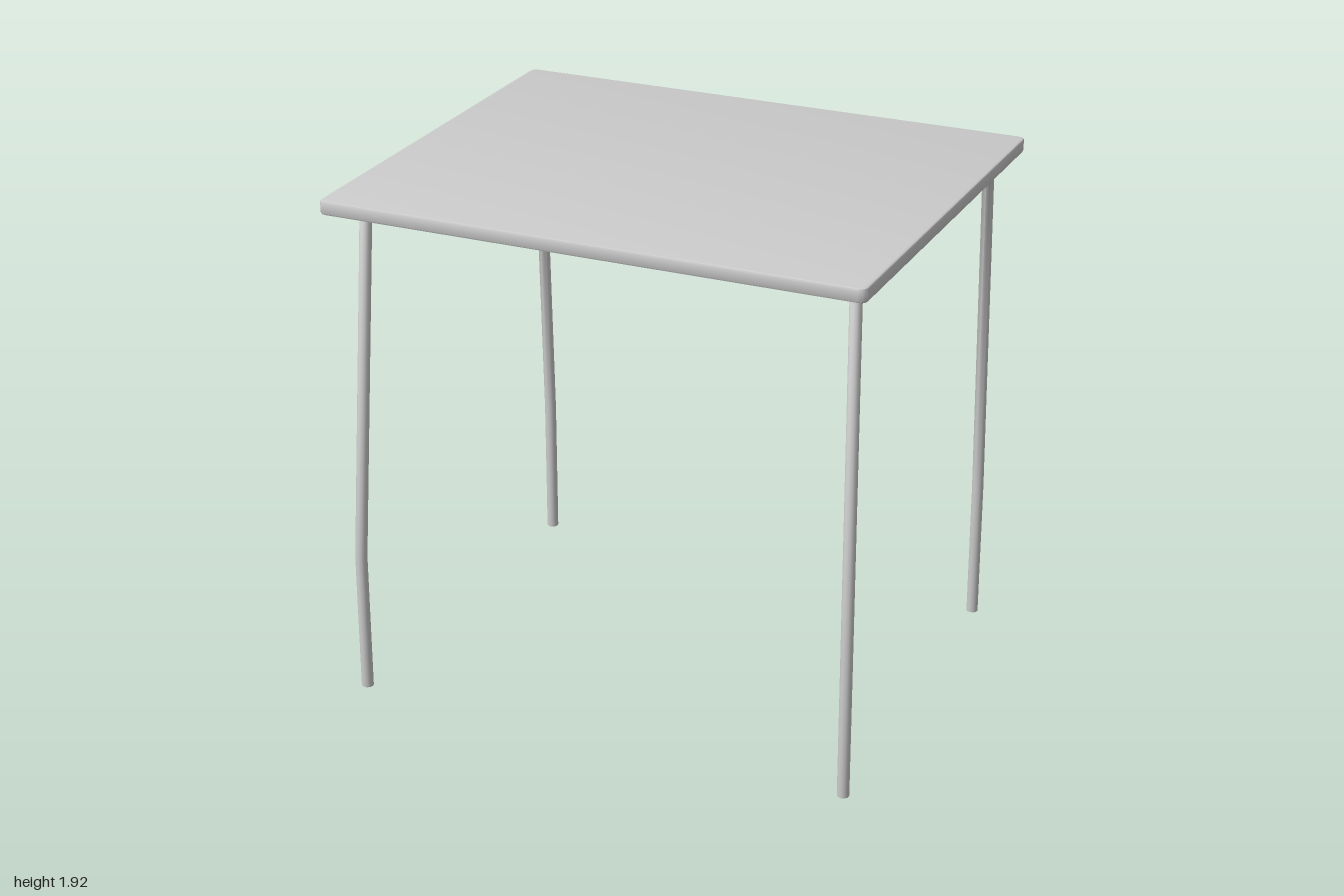
import * as THREE from 'three';
import { toCreasedNormals } from 'three/addons/utils/BufferGeometryUtils.js';

const material = new THREE.MeshStandardMaterial({ color: 0xcccccc });

// Round tube along a polyline with mitred corners and closed ends.
function mitredTube(points, radius, sides) {
  const dirs = points.slice(1).map((p, i) => p.clone().sub(points[i]).normalize());
  const u = new THREE.Vector3(1, 0, 0);
  u.addScaledVector(dirs[0], -u.dot(dirs[0])).normalize();
  const v = dirs[0].clone().cross(u);
  let ring = [];
  for (let j = 0; j < sides; j++) {
    const a = (j / sides) * Math.PI * 2;
    ring.push(points[0].clone().addScaledVector(u, radius * Math.cos(a)).addScaledVector(v, radius * Math.sin(a)));
  }
  const rings = [ring];
  for (let i = 1; i < points.length; i++) {
    // Slide the ring along the segment until it meets the mitre plane.
    const d = dirs[i - 1];
    const n = d.clone().add(dirs[i] ?? d).normalize();
    ring = ring.map((p) => p.clone().addScaledVector(d, points[i].clone().sub(p).dot(n) / d.dot(n)));
    rings.push(ring);
  }
  const verts = [...rings.flat(), points[0], points[points.length - 1]];
  const first = verts.length - 2, last = verts.length - 1;
  const end = (rings.length - 1) * sides;
  const index = [];
  for (let j = 0; j < sides; j++) {
    const k = (j + 1) % sides;
    for (let i = 0; i < rings.length - 1; i++) {
      const a = i * sides + j, b = i * sides + k;
      index.push(a, b, b + sides, a, b + sides, a + sides);
    }
    index.push(first, k, j, last, end + j, end + k);
  }
  const geometry = new THREE.BufferGeometry().setFromPoints(verts);
  geometry.setIndex(index);
  return toCreasedNormals(geometry, Math.PI / 3.5);
}

// Flat slab with small rounded corners and softened edges.
function slab(width, depth, height, corner, bevel) {
  const x = width / 2 - bevel, z = depth / 2 - bevel;
  const s = new THREE.Shape();
  s.moveTo(-x + corner, -z);
  s.lineTo(x - corner, -z);
  s.quadraticCurveTo(x, -z, x, -z + corner);
  s.lineTo(x, z - corner);
  s.quadraticCurveTo(x, z, x - corner, z);
  s.lineTo(-x + corner, z);
  s.quadraticCurveTo(-x, z, -x, z - corner);
  s.lineTo(-x, -z + corner);
  s.quadraticCurveTo(-x, -z, -x + corner, -z);
  const geometry = new THREE.ExtrudeGeometry(s, {
    depth: height - 2 * bevel, bevelSize: bevel, bevelThickness: bevel, bevelSegments: 2, curveSegments: 3,
  });
  geometry.rotateX(-Math.PI / 2).translate(0, bevel, 0);
  return toCreasedNormals(geometry, Math.PI / 4);
}

export function createModel() {
  const group = new THREE.Group();

  const tabletop = new THREE.Mesh(slab(2, 1.63, 0.05, 0.022, 0.006), material);
  tabletop.name = 'tabletop';
  tabletop.position.y = 1.867;
  group.add(tabletop);

  // Each side frame is one bent tube: front leg, top rail, back leg.
  for (const side of [1, -1]) {
    const path = [
      [0.942, 0, 0.742], [0.942, 0.53, 0.742], [0.908, 1.825, 0.652], [0.908, 1.848, 0.628],
      [0.908, 1.848, -0.63], [0.908, 1.808, -0.679], [0.908, 0.53, -0.726], [0.908, 0, -0.726],
    ].map(([x, y, z]) => new THREE.Vector3(side * x, y, z));
    const frame = new THREE.Mesh(mitredTube(path, 0.022, 12), material);
    frame.name = side > 0 ? 'leftLegFrame' : 'rightLegFrame';
    group.add(frame);
  }
  return group;
}
